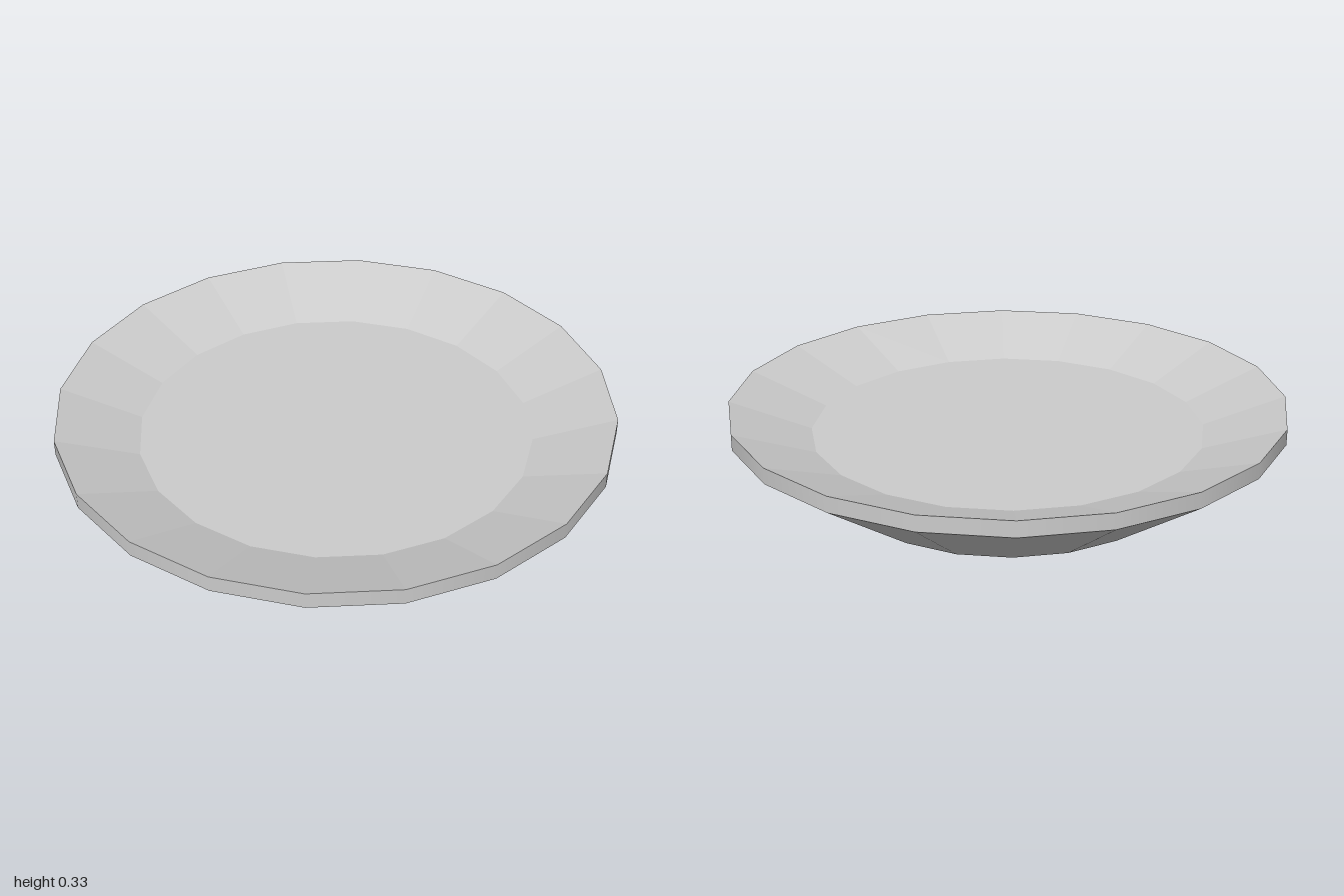
import * as THREE from 'three';

const SIDES = 20;

// Turns a profile of [radius, height] pairs into a 20-sided mesh
function turned(name, profile, flatShading) {
  const points = profile.map(([r, y]) => new THREE.Vector2(r, y));
  const material = new THREE.MeshStandardMaterial({ color: 0xcccccc, flatShading });
  const mesh = new THREE.Mesh(new THREE.LatheGeometry(points, SIDES), material);
  mesh.name = name;
  return mesh;
}

export function createModel() {
  const plate = new THREE.Group();
  plate.name = 'plate';
  plate.add(
    // Flat foot and flared underside
    turned('underside', [[0, 0], [0.605, 0], [1, 0.27]], true),
    // Upright band around the edge
    turned('rim', [[1, 0.27], [1, 0.328]], false),
    // Sloping inner wall down to the flat floor
    turned('innerSurface', [[1, 0.328], [0.708, 0.222], [0, 0.222]], true),
  );
  return plate;
}
